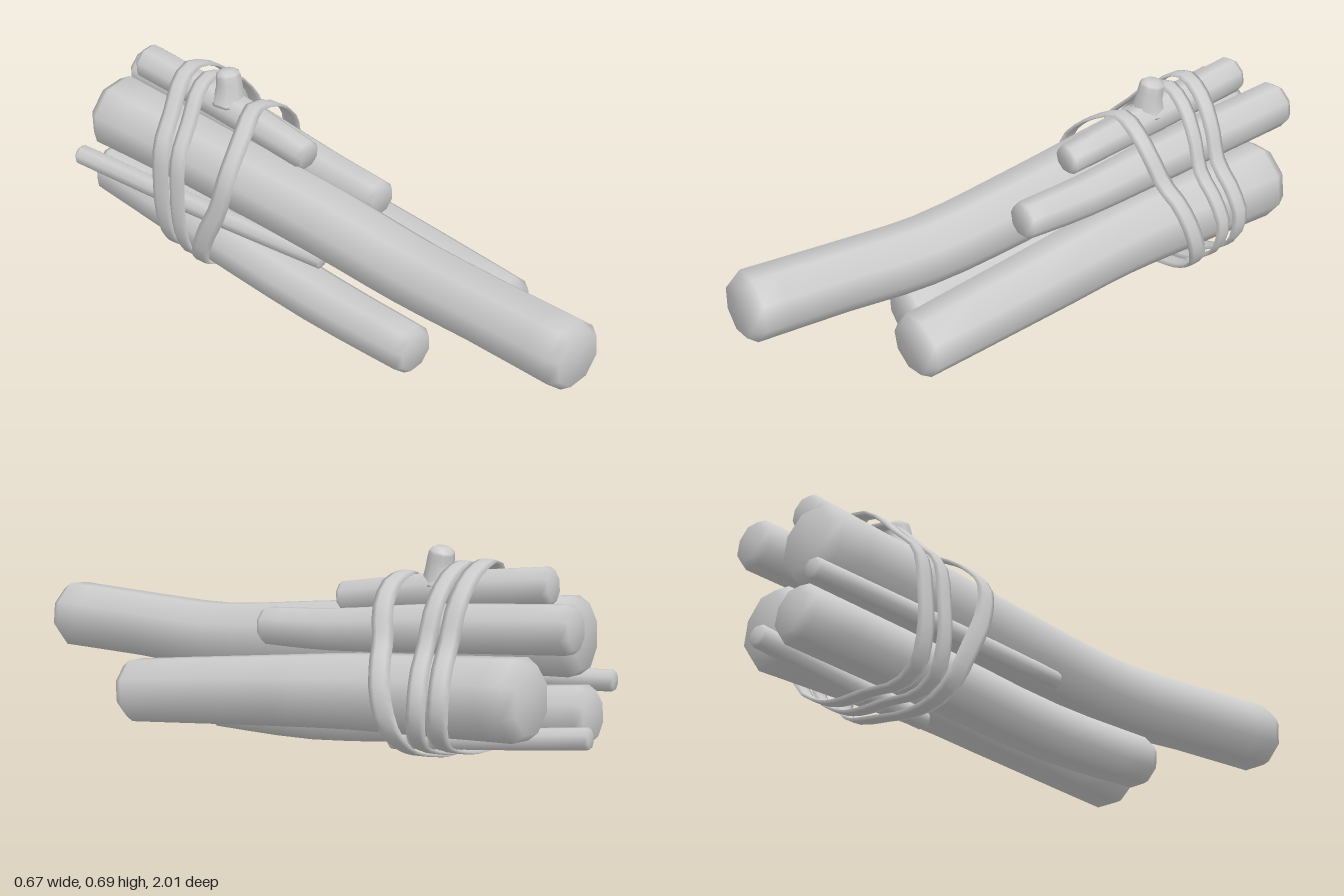
import * as THREE from 'three';

const material = new THREE.MeshStandardMaterial({ color: 0xcccccc });
const SIDES = 8;

function mesh(name, positions, indices) {
  const g = new THREE.BufferGeometry();
  g.setAttribute('position', new THREE.Float32BufferAttribute(positions, 3));
  g.setIndex(indices);
  g.computeVertexNormals();
  const m = new THREE.Mesh(g, material);
  m.name = name;
  return m;
}

// Eight-sided branch with bevelled ends; each stop is [x, y, z, radius]
function branch(name, stops, up = new THREE.Vector3(0, 1, 0), bevel = 0.2) {
  const curve = new THREE.CatmullRomCurve3(stops.map(s => new THREE.Vector3(s[0], s[1], s[2])));
  const n = stops.length - 1, steps = n * 3;
  const length = curve.getLength();
  const rings = [];
  for (let i = 0; i <= steps; i++) {
    const t = i / steps, k = Math.min(Math.floor(t * n), n - 1);
    const r = THREE.MathUtils.lerp(stops[k][3], stops[k + 1][3], t * n - k);
    rings.push({ c: curve.getPoint(t), d: curve.getTangent(t), r: r * 1.04 });
  }
  // Pull the end rings in and add narrower ones for the bevel
  const inset = (ring, sign) => {
    const tip = { c: ring.c.clone(), d: ring.d, r: ring.r * (1 - bevel) };
    ring.c.addScaledVector(ring.d, sign * Math.min(ring.r * 0.28, length * 0.2));
    return tip;
  };
  const startTip = inset(rings[0], 1), endTip = inset(rings[steps], -1);
  rings.unshift(startTip);
  rings.push(endTip);

  const pos = [], idx = [];
  for (const { c, d, r } of rings) {
    const right = new THREE.Vector3().crossVectors(up, d).normalize();
    const top = new THREE.Vector3().crossVectors(d, right);
    for (let j = 0; j < SIDES; j++) {
      const a = (j + 0.6) / SIDES * Math.PI * 2;
      const p = c.clone().addScaledVector(right, Math.cos(a) * r).addScaledVector(top, Math.sin(a) * r);
      pos.push(p.x, p.y, p.z);
    }
  }
  for (let i = 0; i < rings.length - 1; i++) {
    for (let j = 0; j < SIDES; j++) {
      const a = i * SIDES + j, b = i * SIDES + (j + 1) % SIDES;
      idx.push(a, b, a + SIDES, b, b + SIDES, a + SIDES);
    }
  }
  // End caps
  const base = (rings.length - 1) * SIDES, c0 = rings.length * SIDES;
  pos.push(...startTip.c.toArray(), ...endTip.c.toArray());
  for (let j = 0; j < SIDES; j++) {
    const k = (j + 1) % SIDES;
    idx.push(c0, k, j, c0 + 1, base + j, base + k);
  }
  return mesh(name, pos, idx);
}

// Flat strap with a lens-shaped section, wound round the bundle
function strap(name, points, width, thickness) {
  const curve = new THREE.CatmullRomCurve3(points.map(p => new THREE.Vector3(...p)), true, 'centripetal');
  const steps = 40, section = 6, pos = [], idx = [];
  for (let i = 0; i < steps; i++) {
    const c = curve.getPointAt(i / steps), d = curve.getTangentAt(i / steps);
    const out = new THREE.Vector3(d.y, -d.x, 0).normalize();
    const side = new THREE.Vector3().crossVectors(out, d).normalize();
    for (let j = 0; j < section; j++) {
      const a = j / section * Math.PI * 2;
      const p = c.clone().addScaledVector(side, Math.cos(a) * width / 2)
        .addScaledVector(out, Math.sin(a) * thickness / 2);
      pos.push(p.x, p.y, p.z);
      const i2 = (i + 1) % steps, j2 = (j + 1) % section;
      const q = i * section + j, r = i * section + j2, s = i2 * section + j, t = i2 * section + j2;
      idx.push(q, r, s, r, t, s);
    }
  }
  return mesh(name, pos, idx);
}

export function createModel() {
  const model = new THREE.Group();
  model.name = 'firewoodBundle';

  // Thick logs
  model.add(branch('longLog', [
    [-0.06, 0.432, -0.935, 0.127], [-0.08, 0.402, -0.5, 0.117], [-0.1, 0.355, 0, 0.115],
    [-0.133, 0.325, 0.35, 0.11], [-0.178, 0.333, 0.65, 0.107], [-0.23, 0.342, 0.99, 0.11]]));
  model.add(branch('rightLog', [
    [0.207, 0.275, -0.86, 0.13], [0.157, 0.252, -0.52, 0.125], [0.125, 0.236, -0.25, 0.12],
    [0.115, 0.215, 0, 0.114], [0.074, 0.158, 0.58, 0.104]]));
  model.add(branch('lowerLog', [
    [-0.045, 0.195, -0.97, 0.092], [-0.105, 0.138, -0.45, 0.09],
    [-0.148, 0.09, 0, 0.087], [-0.197, 0.084, 0.4, 0.081]]));

  // Thin branches
  model.add(branch('middleBranch', [
    [0.15, 0.487, -0.975, 0.077], [0.105, 0.45, -0.5, 0.077], [0.072, 0.415, -0.15, 0.067], [0.042, 0.405, 0.1, 0.06]]));
  model.add(branch('topBranch', [
    [0.042, 0.596, -0.865, 0.06], [0.018, 0.556, -0.5, 0.058], [-0.016, 0.506, -0.145, 0.05]]));
  model.add(branch('topBranchKnot', [
    [0.012, 0.56, -0.49, 0.06], [0.018, 0.63, -0.49, 0.043], [0.023, 0.69, -0.5, 0.038]],
    new THREE.Vector3(0, 0, 1), 0.4));

  // Twigs
  model.add(branch('sideTwig', [
    [-0.165, 0.28, -1, 0.034], [-0.172, 0.268, -0.5, 0.034], [-0.17, 0.26, 0.02, 0.03]]));
  model.add(branch('bottomTwig', [
    [0.067, 0.145, -1, 0.035], [0.06, 0.108, -0.65, 0.033], [0.045, 0.075, -0.34, 0.03]]));

  // Straps
  model.add(strap('frontStrap', [
    [0, 0.602, -0.375], [-0.07, 0.575, -0.355], [-0.135, 0.53, -0.34], [-0.203, 0.45, -0.335],
    [-0.222, 0.33, -0.36], [-0.222, 0.2, -0.42], [-0.2, 0.095, -0.46], [-0.145, 0.04, -0.48],
    [-0.05, 0.025, -0.49], [0.07, 0.045, -0.49], [0.23, 0.092, -0.47], [0.3, 0.16, -0.445],
    [0.307, 0.27, -0.415], [0.26, 0.365, -0.395], [0.205, 0.42, -0.38],
    [0.16, 0.51, -0.36], [0.09, 0.58, -0.36]], 0.07, 0.013));
  const profile = [
    [0.02, 0.652], [-0.045, 0.63], [-0.13, 0.545], [-0.203, 0.465], [-0.224, 0.33], [-0.222, 0.2],
    [-0.19, 0.1], [-0.13, 0.055], [-0.02, 0.055], [0.1, 0.068], [0.22, 0.105], [0.3, 0.16],
    [0.324, 0.26], [0.285, 0.35], [0.222, 0.425], [0.185, 0.525], [0.115, 0.615]];
  const wave = x => -0.018 * Math.cos(x * 14);
  model.add(strap('middleStrap', profile.map(([x, y]) =>
    [x, y - 0.005, -0.535 - 0.03 * y + wave(x)]), 0.062, 0.013));
  model.add(strap('backStrap', profile.map(([x, y]) =>
    [x + 0.006, y + 0.005, -0.605 - 0.04 * y + wave(x)]), 0.068, 0.013));

  return model;
}
